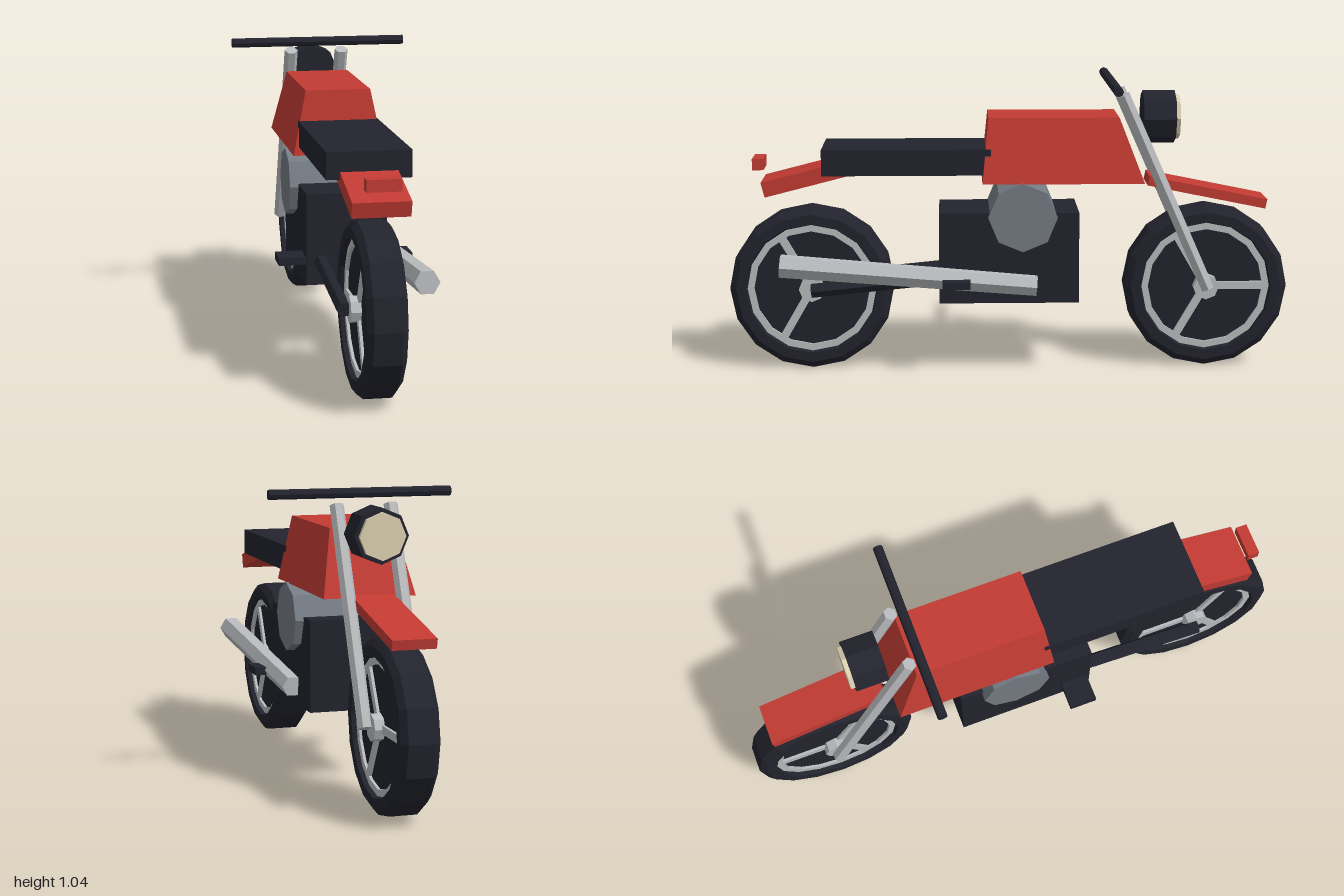
import * as THREE from 'three';

export function createModel() {
  const model = new THREE.Group();
  model.name = 'motorcycle';
  const mat = (name, color) => new THREE.MeshStandardMaterial({ name, color, flatShading: true });
  const dark = mat('dark charcoal', 0x22232d);
  const red = mat('red paint', 0xc23b33);
  const silver = mat('silver metal', 0xb9bbbe);
  const grey = mat('engine grey', 0x757c84);
  const cream = mat('lens cream', 0xd9ceaf);

  const add = (name, geometry, material, x = 0, y = 0, z = 0, parent = model) => {
    const mesh = new THREE.Mesh(geometry, material);
    mesh.name = name;
    mesh.position.set(x, y, z);
    parent.add(mesh);
    return mesh;
  };
  const box = (name, material, w, h, d, x, y, z) =>
    add(name, new THREE.BoxGeometry(w, h, d), material, x, y, z);
  // Hexagonal rod in a plane of constant x, from (y0, z0) to (y1, z1)
  const rod = (name, material, x, y0, z0, y1, z1, r0, r1 = r0) => {
    const geo = new THREE.CylinderGeometry(r1, r0, Math.hypot(y1 - y0, z1 - z0), 6, 1, false, Math.PI / 2);
    const mesh = add(name, geo, material, x, (y0 + y1) / 2, (z0 + z1) / 2);
    mesh.rotation.x = Math.atan2(z1 - z0, y1 - y0);
  };
  const lathe = (points) => new THREE.LatheGeometry(points.map(([r, y]) => new THREE.Vector2(r, y)), 16)
    .rotateZ(Math.PI / 2);

  // Wheels: chamfered tyre with a solid centre, rim ring, three spokes and hub
  const tyreGeo = lathe([[0, -0.04], [0.228, -0.04], [0.235, -0.066], [0.27, -0.066], [0.293, -0.047],
    [0.293, 0.047], [0.27, 0.066], [0.235, 0.066], [0.228, 0.04], [0, 0.04]]);
  const rimGeo = lathe([[0.207, -0.05], [0.231, -0.05], [0.231, 0.05], [0.207, 0.05], [0.207, -0.05]]);
  const spokeGeo = new THREE.BoxGeometry(0.1, 0.028, 0.215).translate(0, 0, -0.1075);
  const hubGeo = new THREE.CylinderGeometry(0.046, 0.046, 0.15, 8).rotateZ(Math.PI / 2);
  for (const [name, z] of [['frontWheel', -0.707], ['rearWheel', 0.707]]) {
    const wheel = new THREE.Group();
    wheel.name = name;
    wheel.position.set(0, 0.298, z);
    model.add(wheel);
    add('tyre', tyreGeo, dark, 0, 0, 0, wheel);
    add('rim', rimGeo, silver, 0, 0, 0, wheel);
    add('hub', hubGeo, silver, 0, 0, 0, wheel);
    for (let i = 0; i < 3; i++) {
      add('spoke', spokeGeo, silver, 0, 0, 0, wheel).rotation.x = i * Math.PI * 2 / 3;
    }
  }

  // Engine block with a cross cylinder
  box('engineBlock', dark, 0.284, 0.324, 0.495, 0, 0.422, 0.003);
  add('engineCylinder', new THREE.CylinderGeometry(0.122, 0.122, 0.344, 8).rotateZ(Math.PI / 2),
    grey, 0, 0.572, -0.045);

  // Fuel tank: a box narrowed towards the top
  const tankGeo = new THREE.BoxGeometry(0.324, 0.228, 0.57);
  const p = tankGeo.attributes.position;
  for (let i = 0; i < p.count; i++) {
    if (p.getY(i) > 0) {
      p.setX(i, Math.sign(p.getX(i)) * 0.115);
      p.setZ(i, p.getZ(i) > 0 ? 0.263 : -0.197);
    }
  }
  tankGeo.computeVertexNormals();
  add('fuelTank', tankGeo, red, 0, 0.804, -0.188);

  // Seat, fenders and tail light
  box('seat', dark, 0.284, 0.092, 0.593, 0, 0.765, 0.364);
  box('rearFender', red, 0.192, 0.054, 0.4, 0, 0.712, 0.677).rotation.x = 0.25;
  box('frontFender', red, 0.15, 0.034, 0.43, 0, 0.643, -0.706).rotation.x = -0.2;
  box('tailLight', red, 0.114, 0.04, 0.04, 0, 0.748, 0.89);

  // Front forks and swing arms
  for (const side of [-1, 1]) {
    rod('fork', silver, side * 0.095, 0.297, -0.71, 0.995, -0.4, 0.025);
    rod('swingArm', dark, side * 0.09, 0.297, 0.707, 0.357, 0.1, 0.026);
  }

  // Exhaust, foot pegs and handlebar
  rod('exhaust', silver, 0.162, 0.327, -0.094, 0.404, 0.81, 0.038, 0.043);
  box('footPegs', dark, 0.474, 0.028, 0.098, 0, 0.344, 0.19);
  add('handlebar', new THREE.CylinderGeometry(0.017, 0.017, 0.644, 8).rotateZ(Math.PI / 2),
    dark, 0, 1.032, -0.363);

  // Headlight
  add('headlight', new THREE.CylinderGeometry(0.094, 0.094, 0.115, 8).rotateX(Math.PI / 2),
    dark, 0, 0.907, -0.533);
  add('headlightLens', new THREE.CylinderGeometry(0.08, 0.08, 0.03, 8).rotateX(Math.PI / 2),
    cream, 0, 0.907, -0.591);

  return model;
}
